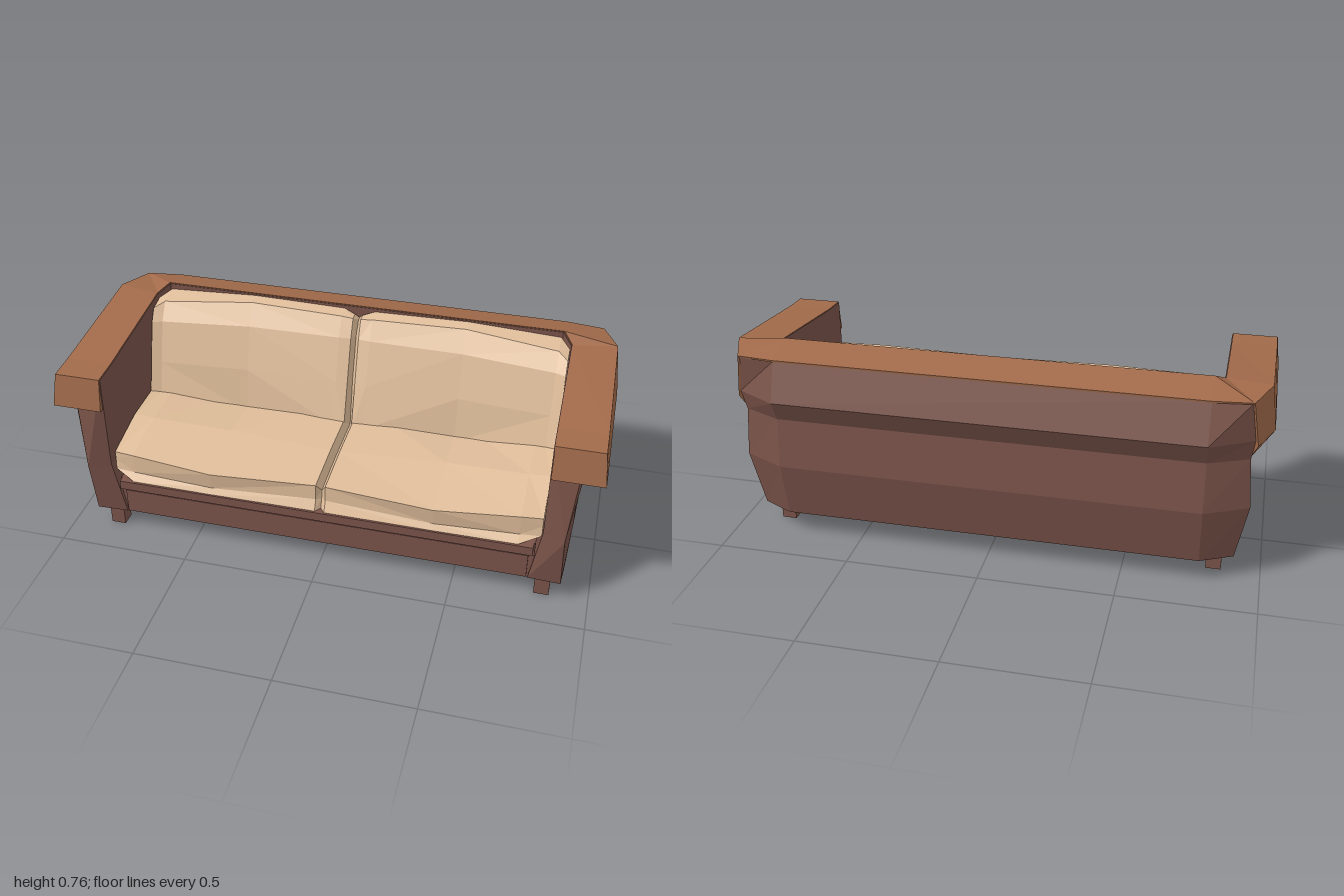
import * as THREE from 'three';

const mat = (name, color) => {
  const m = new THREE.MeshStandardMaterial({ color, flatShading: true });
  m.name = name;
  return m;
};

// Skins a run of equal-length rings, closes both ends with fans, and faces it outwards
function loft(rings, fan = 0) {
  const n = rings[0].length, tris = [];
  for (let i = 0; i < rings.length - 1; i++) {
    for (let j = 0; j < n; j++) {
      const k = (j + 1) % n;
      const a = rings[i][j], b = rings[i][k], c = rings[i + 1][k], d = rings[i + 1][j];
      tris.push([a, b, c], [a, c, d]);
    }
  }
  const first = rings[0], last = rings[rings.length - 1];
  for (let s = 1; s < n - 1; s++) {
    const p = (fan + s) % n, q = (fan + s + 1) % n;
    tris.push([first[fan], first[q], first[p]], [last[fan], last[p], last[q]]);
  }
  const v = (p) => new THREE.Vector3(...p);
  const volume = tris.reduce((sum, [a, b, c]) => sum + v(a).dot(v(b).cross(v(c))), 0);
  const points = tris.flatMap(([a, b, c]) => (volume < 0 ? [a, c, b] : [a, b, c])).flat();
  const geo = new THREE.BufferGeometry();
  geo.setAttribute('position', new THREE.Float32BufferAttribute(points, 3));
  geo.computeVertexNormals();
  return geo;
}

const flip = (ring) => ring.map(([x, y, z]) => [-x, y, z]);
const mirrored = (half) => [...half, ...half.slice().reverse().map(flip)];

export function createModel() {
  const group = new THREE.Group();
  const leather = mat('brown leather', 0x7a5349);
  const wood = mat('warm wood', 0xa16a4a);
  const fabric = mat('beige fabric', 0xdfbd9a);

  const add = (name, geo, material) => {
    const mesh = new THREE.Mesh(geo, material);
    mesh.name = name;
    group.add(mesh);
    return mesh;
  };
  const box = (name, material, w, h, d, x, y, z) =>
    add(name, new THREE.BoxGeometry(w, h, d), material).position.set(x, y, z);

  // Arms and back: outer bottom, bulge, waist, roll, top, then the inner side down
  const body = [
    [[0.895, 0.085, 0.38], [0.89, 0.31, 0.42], [0.92, 0.545, 0.38], [0.92, 0.58, 0.38],
      [0.92, 0.66, 0.38], [0.812, 0.683, 0.383], [0.812, 0.31, 0.385], [0.775, 0.085, 0.375]],
    [[0.9, 0.088, 0.3], [0.91, 0.31, 0.3], [0.91, 0.523, 0.3], [0.92, 0.58, 0.29],
      [0.92, 0.66, 0.29], [0.812, 0.688, 0.28], [0.812, 0.31, 0.28], [0.78, 0.085, 0.29]],
    [[0.9, 0.088, -0.16], [0.925, 0.31, -0.17], [0.915, 0.523, -0.18], [0.92, 0.58, -0.18],
      [0.92, 0.68, -0.18], [0.812, 0.738, -0.185], [0.812, 0.31, -0.18], [0.78, 0.088, -0.16]],
    [[0.9, 0.088, -0.285], [0.94, 0.31, -0.315], [0.925, 0.5, -0.315], [0.935, 0.58, -0.335],
      [0.915, 0.725, -0.355], [0.775, 0.762, -0.236], [0.775, 0.31, -0.236], [0.75, 0.088, -0.2]],
    [[0.78, 0.09, -0.348], [0.78, 0.31, -0.395], [0.78, 0.5, -0.38], [0.78, 0.58, -0.42],
      [0.78, 0.725, -0.372], [0.77, 0.762, -0.236], [0.77, 0.31, -0.236], [0.74, 0.088, -0.2]],
  ];
  add('armsAndBack', loft(mirrored(body), 1), leather);

  // Bottom rim slopes in under the foot of the body
  const low = ([x, , z]) => [Math.min(x, 0.87), 0.075, Math.max(z * 0.95, -0.25)];
  const rim = body.map((r) => [r[0], low(r[0]), low(r[7]), r[7]]);
  add('bottomRim', loft(mirrored(rim)), wood);
  box('frontRim', wood, 1.56, 0.006, 0.06, 0, 0.079, 0.33);

  // Top rail: outer bottom, outer top, inner top, inner bottom, underside
  const rail = [
    [[1, 0.56, 0.405], [0.985, 0.685, 0.385], [0.815, 0.685, 0.385], [0.815, 0.56, 0.405], [0.915, 0.547, 0.38]],
    [[1, 0.56, 0.28], [0.985, 0.69, 0.28], [0.815, 0.69, 0.28], [0.815, 0.56, 0.28], [0.905, 0.522, 0.3]],
    [[1, 0.56, -0.19], [0.978, 0.741, -0.22], [0.815, 0.74, -0.19], [0.815, 0.56, -0.19], [0.91, 0.522, -0.18]],
    [[0.945, 0.56, -0.335], [0.92, 0.73, -0.36], [0.78, 0.765, -0.24], [0.78, 0.56, -0.245], [0.92, 0.5, -0.31]],
    [[0.919, 0.724, -0.358], [0.92, 0.73, -0.36], [0.78, 0.765, -0.24], [0.78, 0.74, -0.245], [0.86, 0.72, -0.3]],
    [[0.78, 0.724, -0.376], [0.78, 0.731, -0.377], [0.775, 0.765, -0.24], [0.775, 0.74, -0.245], [0.78, 0.72, -0.3]],
  ];
  add('topRail', loft(mirrored(rail)), wood);

  // Cushions: cross-sections of [z, y] placed at stations along x, creased at the centre
  const cushion = (name, stations) => {
    const rings = stations.map(([x, pts]) => pts.map(([z, y]) => [x, y, z]));
    add(name + 'Left', loft(rings), fabric);
    add(name + 'Right', loft(rings.map(flip)), fabric);
  };
  cushion('seatCushion', [
    [0, [[-0.2, 0.32], [0.15, 0.32], [0.34, 0.31], [0.345, 0.275], [0.36, 0.24], [0.28, 0.225], [-0.15, 0.225]]],
    [0.018, [[-0.2, 0.35], [0.15, 0.352], [0.362, 0.342], [0.362, 0.28], [0.383, 0.24], [0.28, 0.215], [-0.15, 0.215]]],
    [0.42, [[-0.2, 0.33], [0.13, 0.36], [0.385, 0.333], [0.372, 0.262], [0.385, 0.24], [0.28, 0.215], [-0.15, 0.215]]],
    [0.73, [[-0.2, 0.375], [0.15, 0.38], [0.365, 0.35], [0.362, 0.27], [0.383, 0.24], [0.28, 0.215], [-0.15, 0.215]]],
    [0.808, [[-0.2, 0.39], [0.15, 0.385], [0.35, 0.345], [0.35, 0.31], [0.355, 0.27], [0.32, 0.245], [-0.2, 0.245]]],
  ]);
  cushion('backCushion', [
    [0, [[-0.235, 0.28], [-0.08, 0.3], [-0.12, 0.5], [-0.175, 0.67], [-0.212, 0.72], [-0.232, 0.72]]],
    [0.015, [[-0.235, 0.28], [-0.04, 0.33], [-0.095, 0.5], [-0.15, 0.67], [-0.185, 0.738], [-0.22, 0.738]]],
    [0.06, [[-0.235, 0.28], [-0.042, 0.33], [-0.09, 0.5], [-0.145, 0.67], [-0.186, 0.742], [-0.236, 0.75]]],
    [0.42, [[-0.235, 0.28], [-0.065, 0.32], [-0.092, 0.5], [-0.14, 0.67], [-0.19, 0.75], [-0.236, 0.757]]],
    [0.77, [[-0.235, 0.28], [-0.025, 0.36], [-0.065, 0.5], [-0.11, 0.66], [-0.155, 0.727], [-0.236, 0.74]]],
    [0.808, [[-0.19, 0.28], [-0.015, 0.38], [-0.05, 0.5], [-0.095, 0.66], [-0.125, 0.708], [-0.19, 0.72]]],
  ]);

  // Front rail with a raised panel and an upper lip
  box('frontRail', leather, 1.58, 0.155, 0.035, 0, 0.159, 0.346);
  box('frontPanel', leather, 1.54, 0.1, 0.015, 0, 0.138, 0.368);
  box('frontLip', leather, 1.57, 0.036, 0.035, 0, 0.22, 0.372);

  // Square legs
  for (const side of [-1, 1]) {
    box('frontLeg', leather, 0.056, 0.085, 0.056, side * 0.83, 0.0425, 0.328);
    box('backLeg', leather, 0.056, 0.085, 0.06, side * 0.83, 0.0425, -0.215);
  }
  return group;
}
